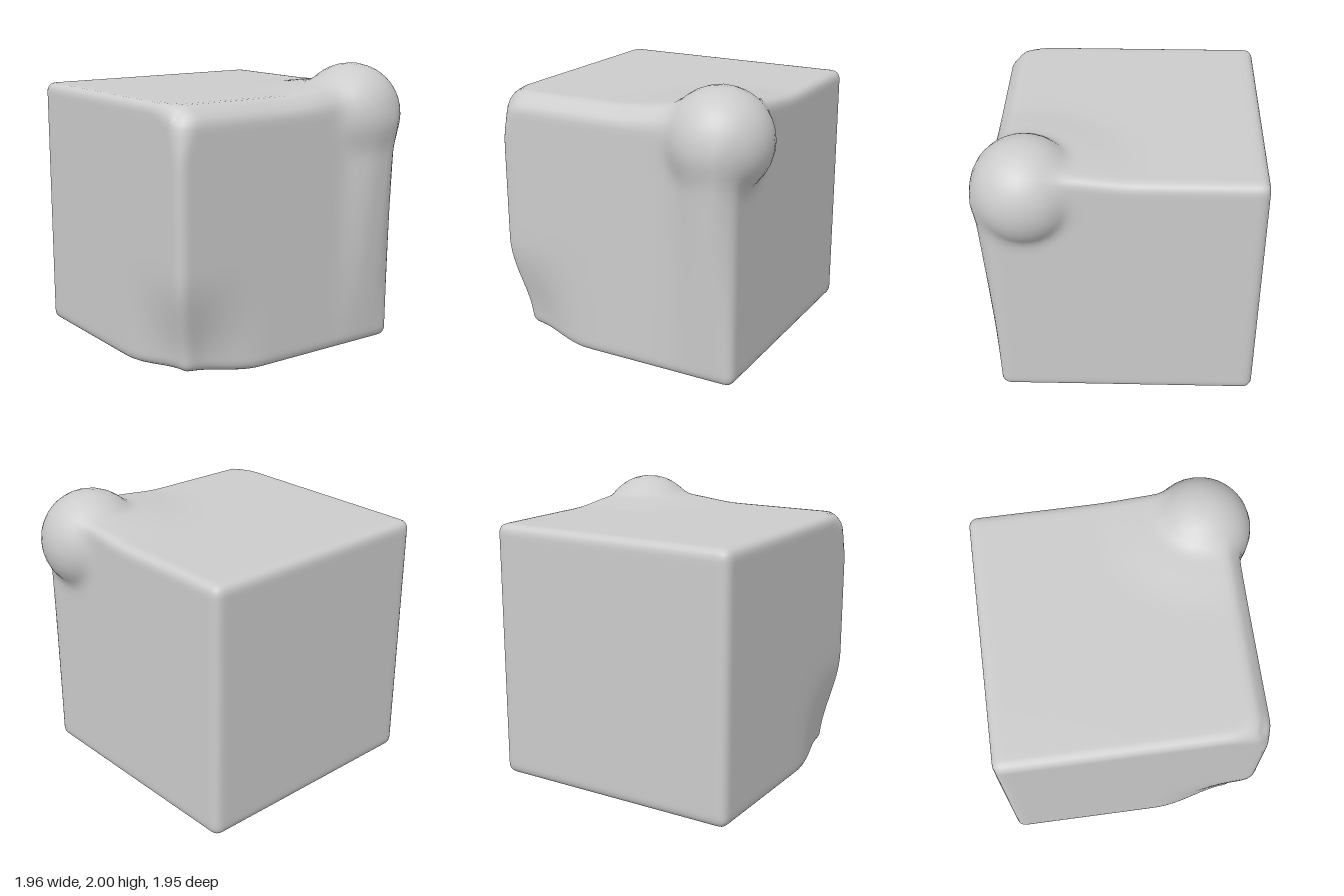
import * as THREE from 'three';
import { toCreasedNormals } from 'three/addons/utils/BufferGeometryUtils.js';

const MIN = new THREE.Vector3(-0.98, 0, -0.975);
const MAX = new THREE.Vector3(0.84, 1.825, 0.845);
const KNOB = new THREE.Vector3(0.62, 1.64, 0.61);
const KNOB_R = 0.36;
const ramp = THREE.MathUtils.smoothstep;

// Smooth maximum, blending over a width k
function smoothMax(a, b, k) {
  const h = Math.max(k - Math.abs(a - b), 0) / k;
  return Math.max(a, b) + h * h * k * 0.25;
}

// Denser grid lines near the edges of the block (t runs from -1 to 1)
const crowd = t => 0.35 * t + 0.65 * Math.sin(t * Math.PI / 2);

// Round the block's edges; the front top edge is the softest
function roundEdges(p) {
  const r = 0.065 + 0.1 * ramp(p.z, 0.55, 0.84) * ramp(p.y, 1.45, 1.8);
  const inner = p.clone().clamp(MIN.clone().addScalar(r), MAX.clone().subScalar(r));
  p.sub(inner).setLength(r).add(inner);
}

// Pull in the worn lower front corner on the -x side
function wearCorner(p) {
  const w = ramp(-p.x, 0.3, 0.98) * (1 - ramp(p.y, 0, 0.75)) * ramp(p.z, 0.1, 0.84);
  p.x += 0.1 * w;
  p.z -= 0.11 * w;
  p.y += 0.05 * w;
}

// Ridge on the front that tapers from the knob down to the base
function raiseRidge(p) {
  const h = THREE.MathUtils.clamp(p.y / 1.6, 0, 1);
  const centre = 0.6 + 0.07 * h;
  const across = ramp(p.x, centre - 0.32, centre - 0.04) * (1 - ramp(p.x, centre + 0.06, 0.87));
  p.z += 0.1 * h * across * ramp(p.z, 0.6, 0.84) * (1 - ramp(p.y, 1.6, 1.8));
}

// Swell the upper front corner into a round knob with a soft skirt
function swellKnob(p) {
  const skirt = 0.04 * ramp(0.75 - Math.hypot(p.x - 0.62, p.z - 0.6), 0, 0.5);
  p.y += skirt * ramp(p.y, 1.6, 1.8);
  const d = p.clone().sub(KNOB);
  const len = d.length();
  p.copy(KNOB).add(d.setLength(smoothMax(len, KNOB_R, 0.06)));
}

export function createModel() {
  const group = new THREE.Group();
  const geo = new THREE.BoxGeometry(2, 2, 2, 36, 36, 36);
  geo.deleteAttribute('uv');
  const pos = geo.attributes.position;
  const half = MAX.clone().sub(MIN).multiplyScalar(0.5);
  const mid = MAX.clone().add(MIN).multiplyScalar(0.5);
  const p = new THREE.Vector3();
  for (let i = 0; i < pos.count; i++) {
    p.fromBufferAttribute(pos, i);
    p.set(crowd(p.x), crowd(p.y), crowd(p.z)).multiply(half).add(mid);
    roundEdges(p);
    wearCorner(p);
    raiseRidge(p);
    swellKnob(p);
    pos.setXYZ(i, p.x, p.y, p.z);
  }
  const block = new THREE.Mesh(
    toCreasedNormals(geo, 0.6),
    new THREE.MeshStandardMaterial({ color: 0xcccccc })
  );
  block.name = 'blockWithCornerKnob';
  group.add(block);
  return group;
}
